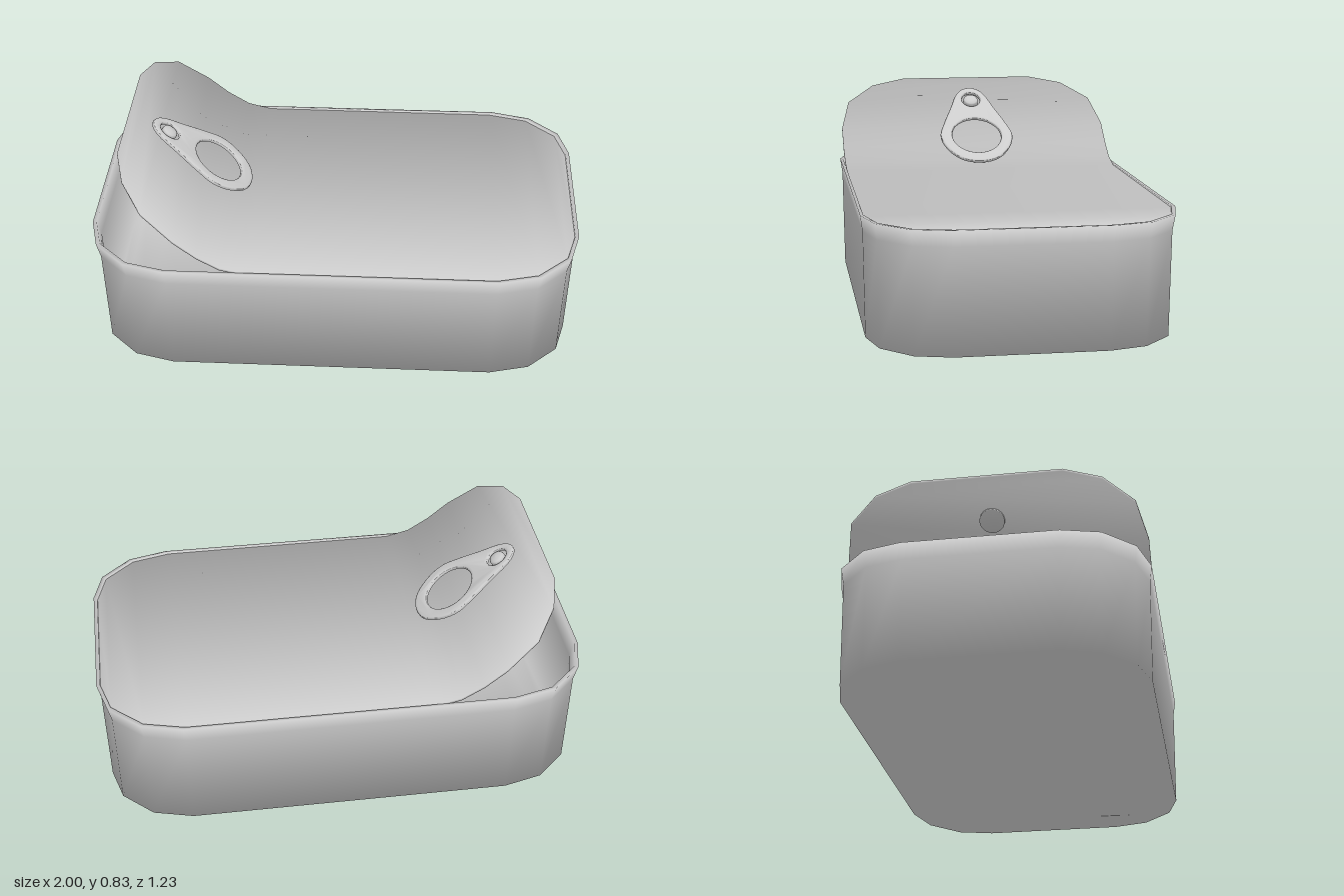
import * as THREE from 'three';
import { toCreasedNormals } from 'three/addons/utils/BufferGeometryUtils.js';

const metal = new THREE.MeshStandardMaterial({ color: 0xcccccc });

function part(name, geometry) {
  const mesh = new THREE.Mesh(geometry, metal);
  mesh.name = name;
  return mesh;
}

// Mirrors a half outline of [x, z, y] across z into a closed ring
function ring(half) {
  const pts = half.map(([x, z, y]) => new THREE.Vector3(x, y, z));
  const mirrored = pts.map((p) => new THREE.Vector3(p.x, p.y, -p.z)).reverse();
  return [...pts, ...mirrored];
}

// Angle-weighted smooth normals, so big flat faces round softly into their edges
function softNormals(pts, index) {
  const normals = pts.map(() => new THREE.Vector3());
  for (let t = 0; t < index.length; t += 3) {
    const tri = [index[t], index[t + 1], index[t + 2]];
    const [a, b, c] = tri.map((i) => pts[i]);
    const n = b.clone().sub(a).cross(c.clone().sub(a)).normalize();
    tri.forEach((v, k) => {
      const e1 = pts[tri[(k + 1) % 3]].clone().sub(pts[v]);
      const e2 = pts[tri[(k + 2) % 3]].clone().sub(pts[v]);
      normals[v].addScaledVector(n, e1.angleTo(e2));
    });
  }
  return normals.flatMap((n) => n.normalize().toArray());
}

// Skins a stack of rings and closes the first and last with strips across z
function loft(rings) {
  const n = rings[0].length;
  const pts = rings.flat();
  const index = [];
  for (let j = 0; j < rings.length - 1; j++) {
    for (let i = 0; i < n; i++) {
      const a = j * n + i, b = j * n + (i + 1) % n;
      index.push(a, a + n, b, b, a + n, b + n);
    }
  }
  const last = (rings.length - 1) * n;
  for (let i = 0; i < n / 2 - 1; i++) {
    const p = i, q = i + 1, r = n - 2 - i, s = n - 1 - i;
    index.push(p, r, s, p, q, r);
    index.push(last + p, last + s, last + r, last + p, last + r, last + q);
  }
  const geo = new THREE.BufferGeometry();
  geo.setAttribute('position', new THREE.Float32BufferAttribute(pts.flatMap((p) => p.toArray()), 3));
  geo.setAttribute('normal', new THREE.Float32BufferAttribute(softNormals(pts, index), 3));
  geo.setIndex(index);
  return geo;
}

// Rounded-rectangle ring of the can, with the given half length, half width and height
function canRing(hx, hz, y) {
  const corner = [[1, 0.49], [0.96, 0.735], [0.835, 0.93], [0.67, 1]];
  const back = corner.map(([x, z]) => [-x, z]).reverse();
  return ring([...corner, ...back].map(([x, z]) => [x * hx, z * hz, y]));
}

function makeCan() {
  return part('can', loft([
    canRing(0.975, 0.603, 0),
    canRing(0.985, 0.608, 0.42),
    canRing(1, 0.617, 0.485),
    canRing(0.985, 0.604, 0.485),
    canRing(0.97, 0.595, 0.42),
    canRing(0.96, 0.59, 0.015),
  ]));
}

// Lid lying in the rim, peeled up toward -x
function makeLid() {
  const half = [
    [0.984, 0.296, 0.478], [0.945, 0.444, 0.478], [0.822, 0.562, 0.478], [0.66, 0.604, 0.478],
    [-0.34, 0.604, 0.48], [-0.44, 0.606, 0.505], [-0.53, 0.608, 0.56], [-0.62, 0.608, 0.635],
    [-0.745, 0.57, 0.738], [-0.83, 0.45, 0.805], [-0.87, 0.3, 0.831],
  ];
  const under = half.map(([x, z, y]) => [x, z, y - 0.01]);
  return part('peeledLid', loft([ring(under), ring(half)]));
}

function ellipseHole(v, ru, rv) {
  const hole = new THREE.Path();
  hole.absellipse(0, v, ru, rv, 0, Math.PI * 2, true);
  return hole;
}

// Pull tab with a finger hole and a rivet, lying along the slope of the lid
function makeTab() {
  const tab = new THREE.Group();
  tab.name = 'pullTab';

  const side = [[0.08, 0.02], [0.14, 0.085], [0.166, 0.17], [0.142, 0.255],
    [0.1, 0.36], [0.07, 0.44], [0.04, 0.48]];
  const left = side.map(([x, y]) => [-x, y]).reverse();
  const outline = [[0, 0], ...side, [0, 0.495], ...left];
  const curve = new THREE.CatmullRomCurve3(outline.map(([x, y]) => new THREE.Vector3(x, y, 0)), true);
  const shape = new THREE.Shape(curve.getPoints(56).slice(0, -1).map((p) => new THREE.Vector2(p.x, p.y)));
  shape.holes.push(ellipseHole(0.17, 0.112, 0.112), ellipseHole(0.412, 0.042, 0.046));
  const plate = new THREE.ExtrudeGeometry(shape, {
    depth: 0.004, bevelThickness: 0.008, bevelSize: 0.014, bevelOffset: -0.014,
    bevelSegments: 3, curveSegments: 24,
  });
  tab.add(part('tabPlate', toCreasedNormals(plate, 0.9)));

  // Rivet: flange on the lid, neck and domed head
  const profile = [[0, -0.045], [0.05, -0.045], [0.05, -0.03], [0.034, -0.025], [0.034, 0.004],
    [0.03, 0.011], [0.018, 0.016], [0, 0.018]].map(([x, y]) => new THREE.Vector2(x, y));
  const rivet = part('rivet', new THREE.LatheGeometry(profile, 20));
  rivet.rotation.x = Math.PI / 2;
  rivet.position.y = 0.412;
  tab.add(rivet);

  const slope = 0.613, c = Math.cos(slope), s = Math.sin(slope);
  tab.quaternion.setFromRotationMatrix(new THREE.Matrix4().makeBasis(
    new THREE.Vector3(0, 0, -1), new THREE.Vector3(-c, s, 0), new THREE.Vector3(s, c, 0)));
  tab.position.set(-0.37, 0.502, 0);
  return tab;
}

export function createModel() {
  const model = new THREE.Group();
  model.name = 'openedTin';
  model.add(makeCan(), makeLid(), makeTab());
  return model;
}
